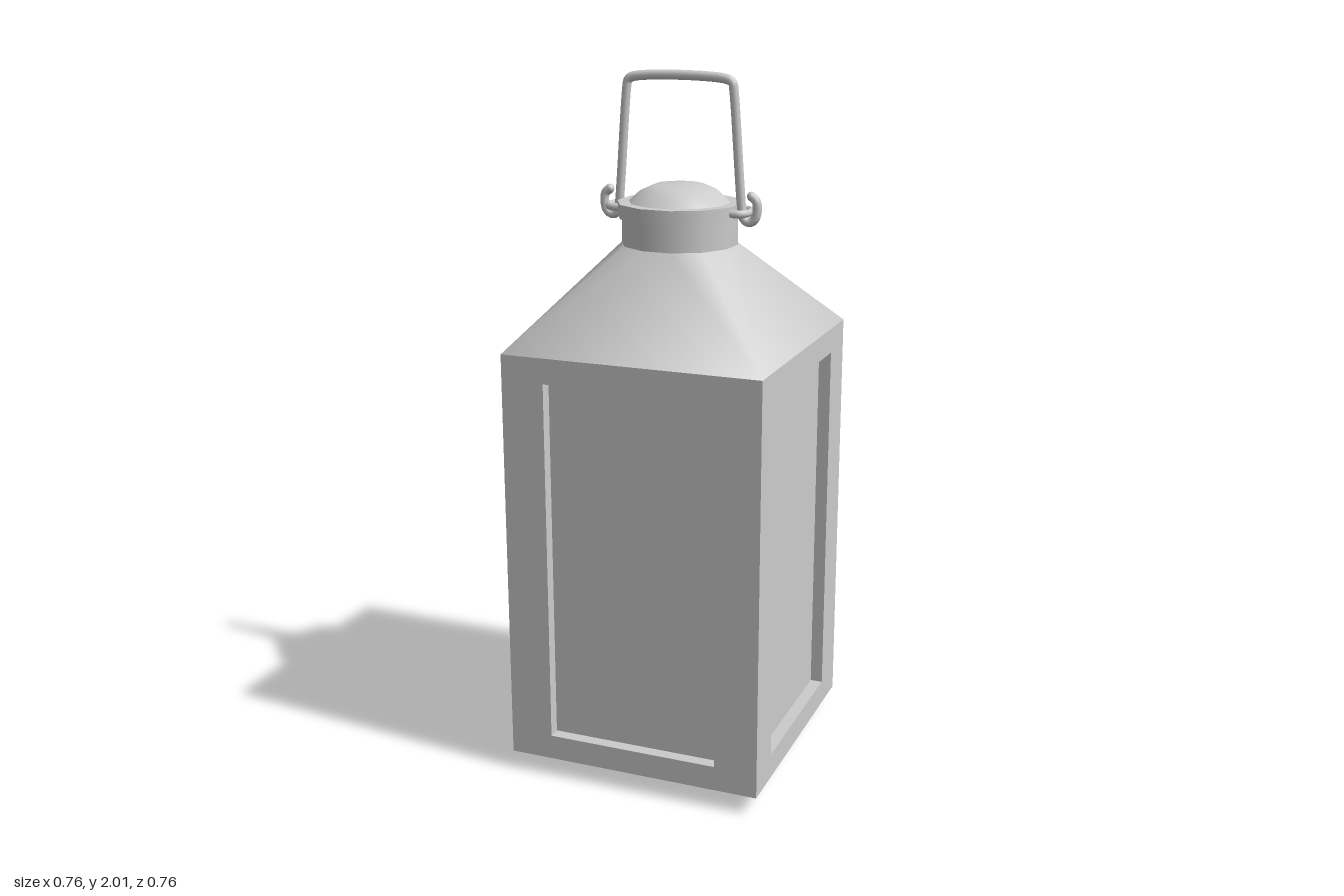
import * as THREE from 'three';

const material = new THREE.MeshStandardMaterial({ color: 0xcccccc, side: THREE.DoubleSide });
const START = THREE.MathUtils.degToRad(13); // turn of the twelve-sided neck
const SIDES = 12;
const HALF = 0.378, BOTTOM = 0.055, EAVES = 1.26, NECK = 1.53;

function add(parent, name, geometry) {
  const mesh = new THREE.Mesh(geometry, material);
  mesh.name = name;
  parent.add(mesh);
  return mesh;
}

// Flat rectangle facing +z whose inner rectangle is pushed in (or out) by depth
function steppedPanel(w, h, innerW, innerH, depth) {
  const loop = (a, b, z) => [[-a, -b, z], [a, -b, z], [a, b, z], [-a, b, z]];
  const loops = [loop(w, h, 0), loop(innerW, innerH, 0), loop(innerW, innerH, depth)];
  const pos = [];
  const quad = (a, b, c, d) => pos.push(...a, ...b, ...c, ...a, ...c, ...d);
  for (let k = 0; k < 2; k++) {
    for (let j = 0; j < 4; j++) {
      const n = (j + 1) % 4;
      quad(loops[k][j], loops[k][n], loops[k + 1][n], loops[k + 1][j]);
    }
  }
  quad(...loops[2]);
  const g = new THREE.BufferGeometry();
  g.setAttribute('position', new THREE.Float32BufferAttribute(pos, 3));
  g.computeVertexNormals();
  return g;
}

// Smooth transition from the square eaves to the round neck
function roofGeometry(radius) {
  const pos = [], index = [];
  for (let i = 0; i < SIDES; i++) {
    const a = START + (i / SIDES) * Math.PI * 2;
    pos.push(radius * Math.sin(a), NECK, radius * Math.cos(a));
  }
  [[1, 1], [1, -1], [-1, -1], [-1, 1]].forEach(([x, z]) => pos.push(x * HALF, EAVES, z * HALF));
  for (let c = 0; c < 4; c++) {
    const corner = SIDES + c;
    for (let k = 0; k < 3; k++) {
      const i = c * 3 + k;
      index.push(corner, (i + 1) % SIDES, i);
    }
    index.push(corner, SIDES + (c + 1) % 4, (c * 3 + 3) % SIDES);
  }
  const g = new THREE.BufferGeometry();
  g.setAttribute('position', new THREE.Float32BufferAttribute(pos, 3));
  g.setIndex(index);
  g.computeVertexNormals();
  return g;
}

function turned(points) {
  return new THREE.LatheGeometry(points.map(p => new THREE.Vector2(...p)), SIDES, START);
}

function tube(points, radius, segments) {
  const curve = new THREE.CatmullRomCurve3(points.map(p => new THREE.Vector3(...p)));
  return new THREE.TubeGeometry(curve, segments, radius, 8);
}

export function createModel() {
  const lantern = new THREE.Group();
  lantern.name = 'lantern';

  // Body: four framed sides with recessed panes
  const body = new THREE.Group();
  body.name = 'body';
  lantern.add(body);
  const side = steppedPanel(HALF, (EAVES - BOTTOM) / 2, 0.252, 0.53, -0.036);
  ['frontSide', 'leftSide', 'backSide', 'rightSide'].forEach((name, i) => {
    const a = (i * Math.PI) / 2;
    const mesh = add(body, name, side);
    mesh.rotation.y = a;
    mesh.position.set(HALF * Math.sin(a), (EAVES + BOTTOM) / 2, HALF * Math.cos(a));
  });

  // Underside with the raised foot
  const foot = add(body, 'foot', steppedPanel(HALF, HALF, 0.252, 0.252, BOTTOM));
  foot.rotation.x = Math.PI / 2;
  foot.position.y = BOTTOM;

  // Roof, neck, collar and domed cap; separate profiles keep the edges sharp
  add(lantern, 'roof', roofGeometry(0.165));
  add(lantern, 'neck', turned([[0.165, NECK], [0.165, 1.607]]));
  add(lantern, 'collarUnderside', turned([[0.165, 1.607], [0.177, 1.607]]));
  add(lantern, 'collar', turned([[0.177, 1.607], [0.177, 1.647]]));
  add(lantern, 'collarTop', turned([[0.177, 1.647], [0.144, 1.647]]));
  add(lantern, 'cap', turned([[0.144, 1.647], [0.112, 1.676], [0.07, 1.695], [0, 1.698]]));

  // Lugs on the collar that hold the handle
  for (const s of [1, -1]) {
    const points = [[0.16, -0.046], [0.192, -0.043], [0.206, -0.02], [0.206, 0.02], [0.192, 0.043], [0.16, 0.046]];
    add(lantern, s > 0 ? 'leftLug' : 'rightLug', tube(points.map(([x, z]) => [s * x, 1.628, z]), 0.011, 20));
  }

  // Wire handle with hooked ends
  const half = [
    [0.212, 1.672], [0.226, 1.66], [0.229, 1.635], [0.222, 1.61], [0.206, 1.6], [0.19, 1.608],
    [0.184, 1.635], [0.178, 1.7], [0.158, 1.955], [0.154, 1.976], [0.138, 1.986],
  ].map(([x, y]) => [x, y, 0]);
  const mirrored = half.map(([x, y, z]) => [-x, y, z]).reverse();
  const handle = new THREE.Group();
  handle.name = 'handle';
  lantern.add(handle);
  add(handle, 'handleWire', tube([...half, ...mirrored], 0.0135, 160));
  for (const s of [1, -1]) {
    add(handle, 'hookTip', new THREE.SphereGeometry(0.0135, 8, 6)).position.set(s * 0.212, 1.672, 0);
  }

  return lantern;
}
